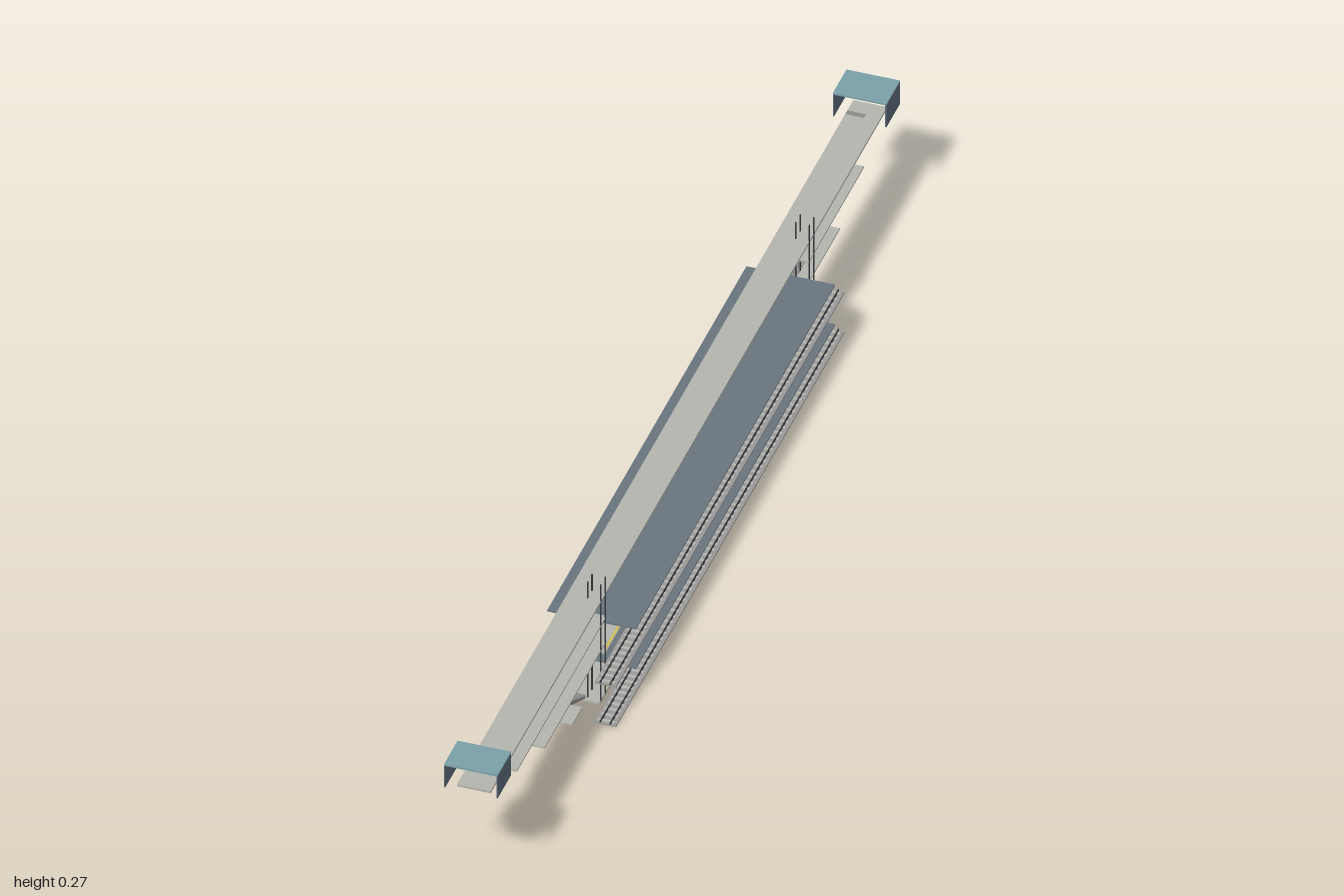
import * as THREE from 'three';

const mat = (color) => new THREE.MeshStandardMaterial({ color, side: THREE.DoubleSide });
const CONCRETE = mat(0xb4b4ae), WALL = mat(0xcacabf), ROOF = mat(0x68747e), GLASS = mat(0x7aa0a8),
  SLATE = mat(0x5c6a78), DARK = mat(0x33363a), YELLOW = mat(0xd8c040), STAIR = mat(0x8a8a88),
  BED = mat(0x9a9898), SIGN = mat(0x24506e);

// Box given by its limits on each axis
function box(parent, name, material, [x0, x1], [y0, y1], [z0, z1]) {
  const mesh = new THREE.Mesh(new THREE.BoxGeometry(x1 - x0, y1 - y0, z1 - z0), material);
  mesh.position.set((x0 + x1) / 2, (y0 + y1) / 2, (z0 + z1) / 2);
  mesh.name = name;
  parent.add(mesh);
  return mesh;
}

const WIDTH = [-0.03, 0.028];
const STAIR_X = [-0.03, 0.002];
const LIFT_X = [0.005, 0.028];

// Thin stepped flight running from a high point to a low point, each [z, y]
function flight(parent, [zTop, yTop], [zBot, yBot], steps = 10) {
  const dz = (zBot - zTop) / steps, dy = (yBot - yTop) / steps;
  const shape = new THREE.Shape();
  shape.moveTo(zTop, yTop);
  for (let i = 1; i <= steps; i++) {
    shape.lineTo(zTop + dz * i, yTop + dy * (i - 1));
    shape.lineTo(zTop + dz * i, yTop + dy * i);
  }
  shape.lineTo(zBot, yBot - 0.002);
  shape.lineTo(zTop, yTop + dy - 0.002);
  const geo = new THREE.ExtrudeGeometry(shape, { depth: STAIR_X[1] - STAIR_X[0], bevelEnabled: false });
  geo.rotateY(-Math.PI / 2); // profile x becomes z, depth becomes -x
  const mesh = new THREE.Mesh(geo, STAIR);
  mesh.position.x = STAIR_X[1];
  mesh.name = 'stairFlight';
  parent.add(mesh);
}

// Landing with an optional walkway back to the lift
function landing(parent, y, zOuter, zInner, zLift) {
  box(parent, 'landing', CONCRETE, WIDTH, [y - 0.003, y], [Math.min(zOuter, zInner), Math.max(zOuter, zInner)]);
  if (zLift !== undefined) {
    box(parent, 'liftWalkway', CONCRETE, LIFT_X, [y - 0.003, y],
      [Math.min(zInner, zLift), Math.max(zInner, zLift)]);
  }
}

function liftPosts(parent, yBottom, zs) {
  for (const x of LIFT_X) for (const z of zs) {
    box(parent, 'liftPost', DARK, [x - 0.001, x + 0.001], [yBottom, 0.252], [z - 0.001, z + 0.001]);
  }
}

// Platform with wall, roof, columns, benches, sign and safety line
function platformLevel(base, z0, z1) {
  const g = new THREE.Group();
  g.name = 'platformLevel';
  box(g, 'platform', CONCRETE, WIDTH, [0.015, 0.019], [z0, z1]);
  box(g, 'safetyLine', YELLOW, [0.023, 0.026], [0.019, 0.0195], [-0.585, 0.4]);
  box(g, 'backWall', WALL, [-0.035, -0.031], [0.018, 0.067], [-0.585, 0.4]);
  box(g, 'roof', ROOF, [-0.077, 0.075], [0.0665, 0.069], [-0.59, 0.4]);
  for (let i = 0; i < 6; i++) {
    const z = 0.305 - i * 0.159;
    box(g, 'wallColumn', CONCRETE, [-0.031, -0.028], [0.019, 0.067], [z - 0.002, z + 0.002]);
    box(g, 'bench', SLATE, [-0.03, -0.022], [0.024, 0.0255], [z + 0.006, z + 0.026]);
    for (const dz of [0.008, 0.022]) {
      box(g, 'benchLeg', DARK, [-0.027, -0.025], [0.019, 0.024], [z + dz, z + dz + 0.002]);
    }
  }
  box(g, 'hangingSign', SIGN, [0.014, 0.016], [0.056, 0.062], [-0.305, -0.265]);
  for (const z of [-0.3, -0.27]) {
    box(g, 'signHanger', DARK, [0.0145, 0.0155], [0.062, 0.067], [z - 0.0005, z + 0.0005]);
  }
  g.position.y = base;
  return g;
}

function track(base) {
  const g = new THREE.Group();
  g.name = 'track';
  const z0 = -0.66, z1 = 0.475;
  box(g, 'trackBed', BED, [0.03, 0.067], [0, 0.003], [z0, z1]);
  for (let z = z0 + 0.008; z < z1; z += 0.016) {
    box(g, 'sleeper', CONCRETE, [0.034, 0.063], [0.003, 0.0045], [z - 0.003, z + 0.003]);
  }
  for (const x of [0.04, 0.057]) {
    box(g, 'rail', DARK, [x - 0.001, x + 0.001], [0.003, 0.0065], [z0, z1]);
  }
  g.position.y = base;
  return g;
}

export function createModel() {
  const model = new THREE.Group();
  model.name = 'stackedStation';

  // Two stacked levels
  model.add(platformLevel(0, -0.59, 0.445), platformLevel(0.08, -0.64, 0.415));
  model.add(track(0), track(0.08));

  // Long concourse deck above
  box(model, 'concourse', CONCRETE, WIDTH, [0.215, 0.219], [-0.985, 0.985]);

  // Front stairs down to the lower platform
  const front = new THREE.Group();
  front.name = 'frontStairs';
  flight(front, [0.936, 0.219], [0.855, 0.17]);
  landing(front, 0.17, 0.855, 0.81, 0.41);
  flight(front, [0.81, 0.17], [0.717, 0.12]);
  landing(front, 0.12, 0.717, 0.67, 0.41);
  flight(front, [0.67, 0.12], [0.58, 0.07]);
  landing(front, 0.07, 0.58, 0.53);
  flight(front, [0.53, 0.07], [0.438, 0.019]);
  liftPosts(front, 0.017, [0.415, 0.437]);

  // Rear stairs down to the upper platform
  const rear = new THREE.Group();
  rear.name = 'rearStairs';
  flight(rear, [-0.955, 0.219], [-0.87, 0.18], 8);
  landing(rear, 0.18, -0.87, -0.83, -0.595);
  flight(rear, [-0.83, 0.18], [-0.75, 0.139], 8);
  landing(rear, 0.139, -0.75, -0.71, -0.595);
  flight(rear, [-0.71, 0.139], [-0.63, 0.099], 8);
  liftPosts(rear, 0.097, [-0.598, -0.62]);
  model.add(front, rear);

  // Entrance canopies at both ends
  for (const s of [-1, 1]) {
    const g = new THREE.Group();
    g.name = 'entranceCanopy';
    const z = s > 0 ? [0.932, 1] : [-1, -0.932];
    box(g, 'canopyRoof', GLASS, [-0.047, 0.045], [0.263, 0.266], z);
    for (const x of [-0.046, 0.044]) {
      box(g, 'canopySide', SLATE, [x - 0.001, x + 0.001], [0.219, 0.264], z);
    }
    model.add(g);
  }
  return model;
}
